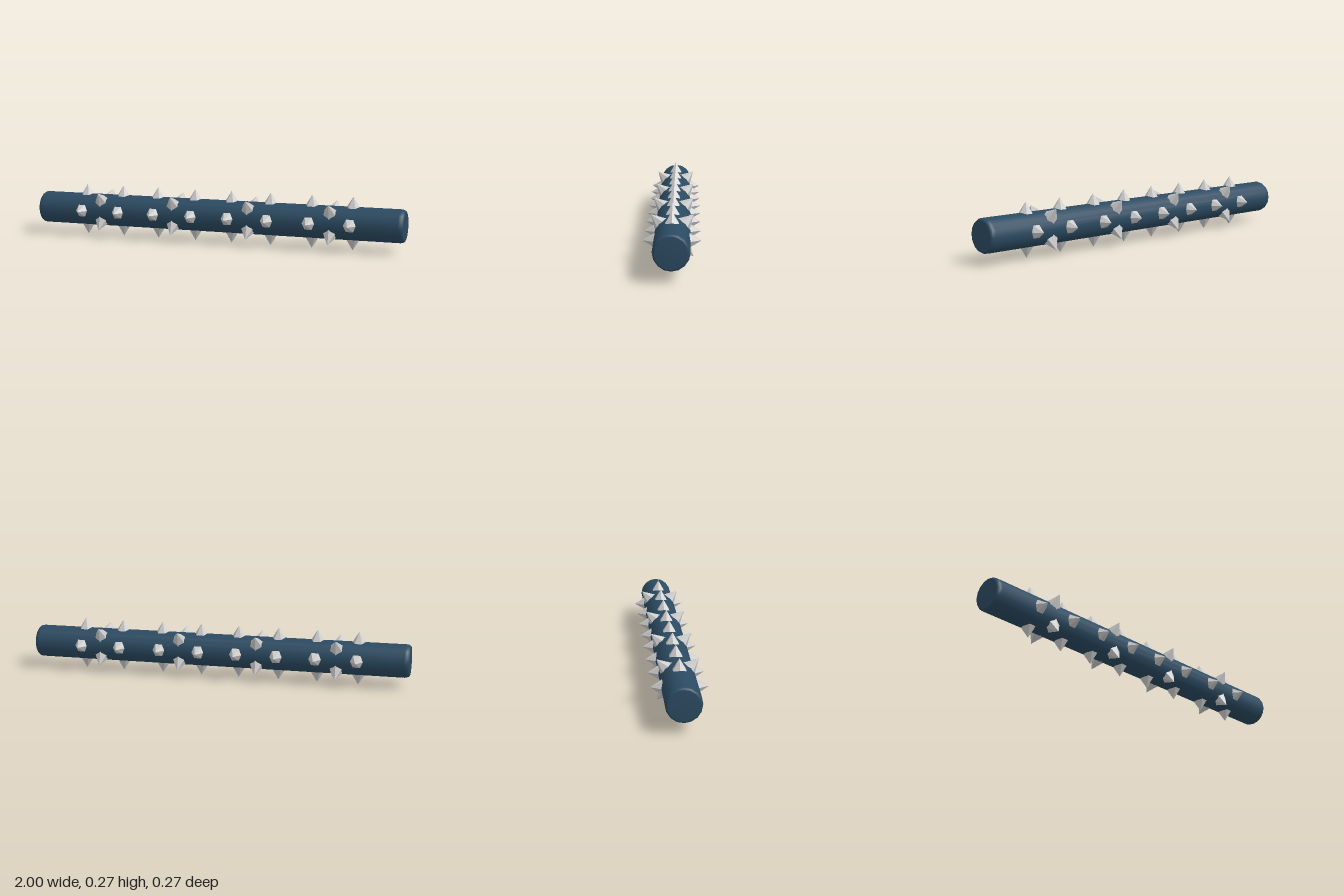
import * as THREE from 'three';

const AXIS_Y = 0.137;
const BAR_RADIUS = 0.0857;

// Long bar along x with softly rounded ends
function makeBar(material) {
  const r = BAR_RADIUS;
  const half = [[r, 0.975], [r - 0.002, 0.987], [r - 0.006, 0.995], [r - 0.013, 1], [0, 1]];
  const profile = [
    ...half.map(([x, y]) => new THREE.Vector2(x, -y)).reverse(),
    ...half.map(([x, y]) => new THREE.Vector2(x, y)),
  ];
  const geometry = new THREE.LatheGeometry(profile, 16);
  geometry.rotateZ(-Math.PI / 2);
  const bar = new THREE.Mesh(geometry, material);
  bar.name = 'bar';
  return bar;
}

// Six-sided spike pointing up, with its base sunk into the bar
function makeSpikeGeometry(tip, turn) {
  const base = 0.072;
  const geometry = new THREE.ConeGeometry(0.041, tip - base, 6);
  geometry.rotateY(turn);
  geometry.translate(0, (tip + base) / 2, 0);
  return geometry;
}

export function createModel() {
  const model = new THREE.Group();
  model.name = 'spikedBar';
  const barMaterial = new THREE.MeshStandardMaterial({ color: 0x2b4a61 });
  const spikeMaterial = new THREE.MeshStandardMaterial({ color: 0xcccccc, flatShading: true });

  const body = new THREE.Group();
  body.name = 'body';
  body.position.y = AXIS_Y;
  model.add(body);
  body.add(makeBar(barMaterial));

  const straight = makeSpikeGeometry(0.137, Math.PI / 2);
  const diagonal = makeSpikeGeometry(0.1415, 0);

  // Ring of four spikes around the bar
  function addRing(name, geometry, x, startAngle) {
    const ring = new THREE.Group();
    ring.name = name;
    ring.position.x = x;
    for (let i = 0; i < 4; i++) {
      const spike = new THREE.Mesh(geometry, spikeMaterial);
      spike.name = 'spike';
      spike.rotation.x = startAngle + (i * Math.PI) / 2;
      ring.add(spike);
    }
    body.add(ring);
  }

  // Four clusters: a diagonal ring between two straight rings
  for (const x of [-0.632, -0.218, 0.196, 0.628]) {
    addRing('straightSpikeRing', straight, x - 0.106, 0);
    addRing('diagonalSpikeRing', diagonal, x, Math.PI / 4);
    addRing('straightSpikeRing', straight, x + 0.106, 0);
  }

  return model;
}
